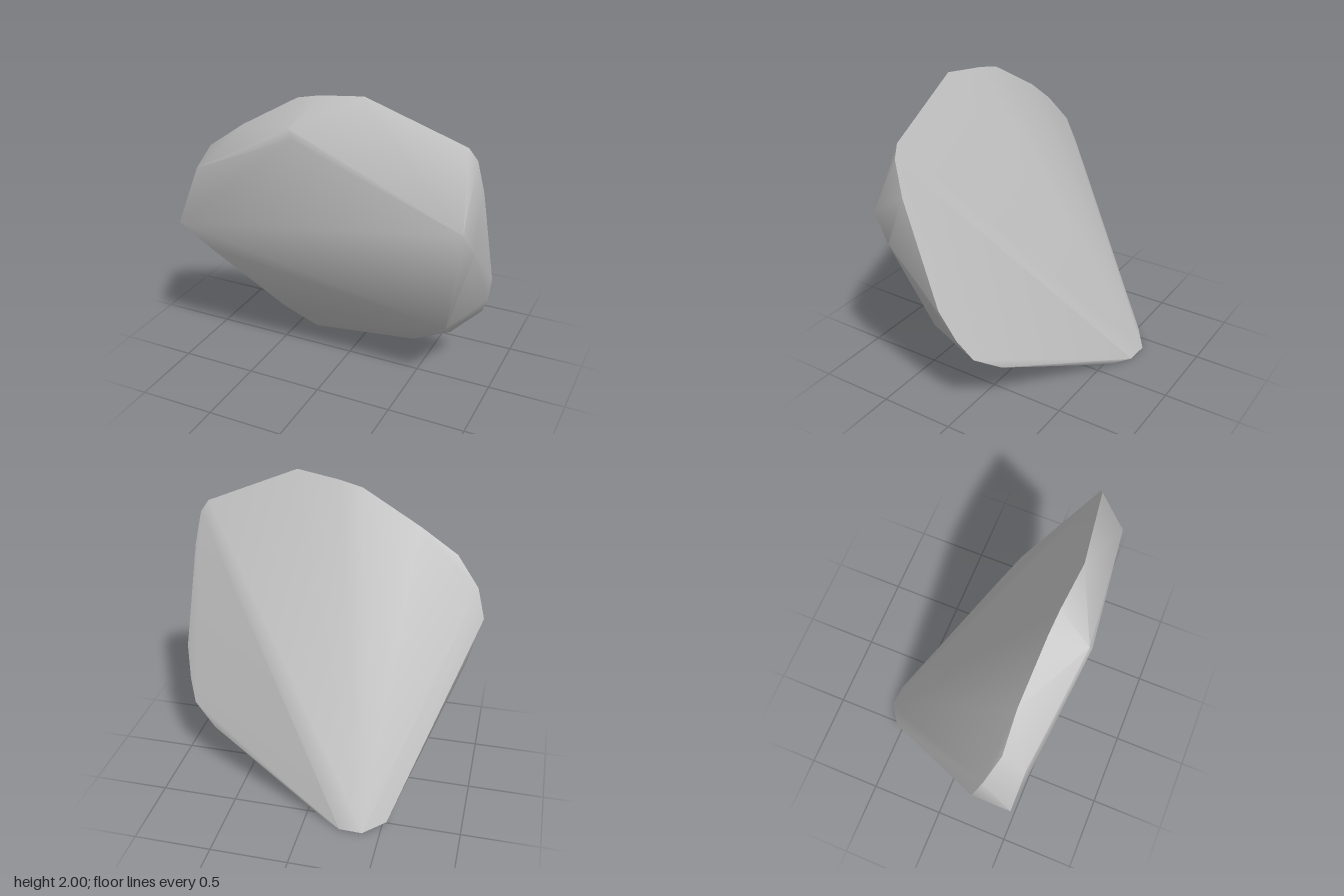
import * as THREE from 'three';
import { ConvexGeometry } from 'three/addons/geometries/ConvexGeometry.js';
import { toCreasedNormals } from 'three/addons/utils/BufferGeometryUtils.js';

// Rim of the leaning back face, clockwise from the top
const rim = [
  [0.29, 2, 0.43], [0.88, 1.765, 0.35], [0.93, 1.69, 0.33], [0.96, 1.48, 0.27],
  [0.98, 0.82, 0.04], [0.94, 0.62, -0.05], [0.885, 0.48, -0.13], [0.72, 0.36, -0.22],
  [-0.24, 0, -0.63], [-0.39, 0.005, -0.64], [-0.53, 0.04, -0.54], [-0.9, 0.83, 0.25],
  [-0.985, 1.15, 0.27], [-0.93, 1.34, 0.32], [-0.78, 1.53, 0.38],
  [-0.54, 1.7, 0.37], [-0.15, 1.925, 0.39], [0, 1.96, 0.4],
];

// Corners of the broad front face
const front = [
  [-0.07, 1.76, 0.635], [-0.09, 1.815, 0.62], [0.93, 1.32, 0.525],
  [0.965, 1.15, 0.4], [0.77, 0.53, 0.25], [-0.26, 0.18, 0.035],
  [-0.26, 0.13, -0.02], [-0.42, 0.35, 0.16], [-0.8, 0.83, 0.43],
  [-0.965, 1.02, 0.515], [-0.79, 1.43, 0.53],
];

// Chipped underside
const underside = [
  [0.72, 0.35, 0], [0.43, 0.16, -0.1], [0.22, 0.09, -0.22], [-0.08, 0.015, -0.54],
];

export function createModel() {
  const stone = new THREE.MeshStandardMaterial({ color: 0xc0c0c0 });
  stone.name = 'light grey stone';

  const points = [...rim, ...front, ...underside].map((p) => new THREE.Vector3(...p));
  const rock = new THREE.Mesh(toCreasedNormals(new ConvexGeometry(points), 0.785), stone);
  rock.name = 'rock';

  const group = new THREE.Group();
  group.name = 'rockShard';
  group.add(rock);
  return group;
}
